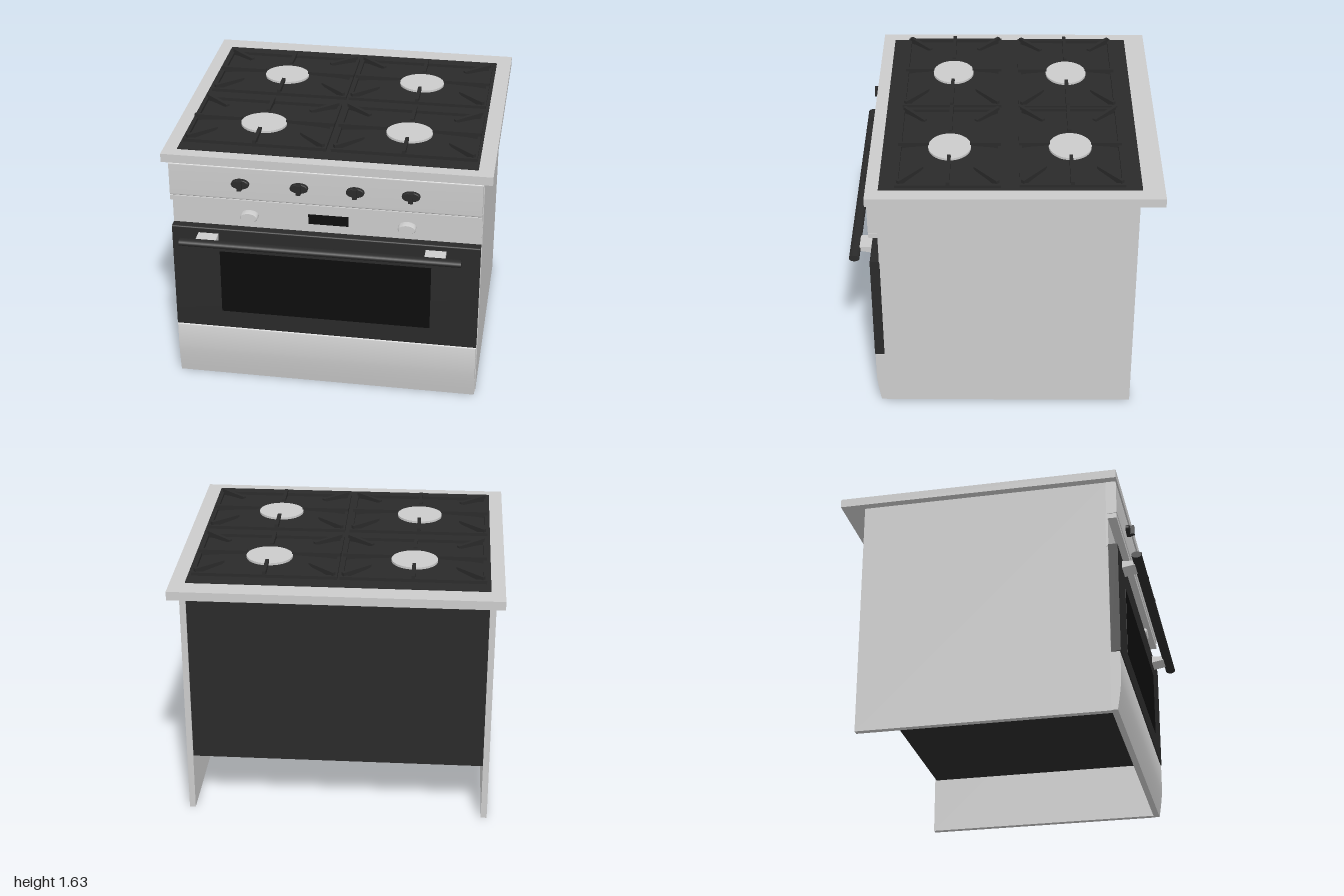
import * as THREE from 'three';
import { toCreasedNormals } from 'three/addons/utils/BufferGeometryUtils.js';

const steel = new THREE.MeshStandardMaterial({ color: 0xcccccc });
const dark = new THREE.MeshStandardMaterial({ color: 0x2a2a2a });
const black = new THREE.MeshStandardMaterial({ color: 0x0d0d0d });

function add(parent, name, geometry, material) {
  const mesh = new THREE.Mesh(geometry, material);
  mesh.name = name;
  parent.add(mesh);
  return mesh;
}

// Box given by its minimum and maximum on each axis
function box(parent, name, material, x0, x1, y0, y1, z0, z1) {
  const mesh = add(parent, name, new THREE.BoxGeometry(x1 - x0, y1 - y0, z1 - z0), material);
  mesh.position.set((x0 + x1) / 2, (y0 + y1) / 2, (z0 + z1) / 2);
  return mesh;
}

// Side profile in (z, y), swept along x from x0 to x1
function sweep(shape, x0, x1) {
  const g = new THREE.ExtrudeGeometry(shape, { depth: x1 - x0, bevelEnabled: false, curveSegments: 10 });
  g.rotateY(-Math.PI / 2).translate(x1, 0, 0);
  return toCreasedNormals(g, 0.6);
}

// Front panel with softly rounded top and bottom front edges
function panelShape(y0, y1, zBack, zFront, r) {
  const s = new THREE.Shape();
  s.moveTo(zBack, y0);
  s.lineTo(zFront - r, y0);
  s.quadraticCurveTo(zFront, y0, zFront, y0 + r);
  s.lineTo(zFront, y1 - r);
  s.quadraticCurveTo(zFront, y1, zFront - r, y1);
  s.lineTo(zBack, y1);
  s.closePath();
  return s;
}

// Elliptical dial facing the front, from z0 to z1
function dial(parent, name, material, x, y, rx, ry, z0, z1) {
  const profile = [[0, 0], [1, 0], [1, 0.8], [0.9, 1], [0, 1]].map(p => new THREE.Vector2(...p));
  let g = new THREE.LatheGeometry(profile, 32);
  g.rotateX(Math.PI / 2).scale(rx, ry, z1 - z0);
  const mesh = add(parent, name, toCreasedNormals(g, 0.5), material);
  mesh.position.set(x, y, z0);
}

// Pan support finger: tall at the frame, tapering to a thin raised tip along +x
function fingerGeometry(length) {
  const s = new THREE.Shape([[0, 0], [length * 0.3, 0.012], [length - 0.02, 0.022], [length, 0.03],
    [length, 0.042], [0, 0.042]].map(p => new THREE.Vector2(...p)));
  return new THREE.ExtrudeGeometry(s, { depth: 0.022, bevelEnabled: false }).translate(0, 0, -0.011);
}

function panSupport(cx, cz) {
  const g = new THREE.Group();
  g.name = 'panSupport';
  g.position.set(cx, 1.588, cz);
  const hx = 0.44, hz = 0.313, t = 0.02;
  for (const s of [-1, 1]) {
    const zc = s * (hz - t / 2), xc = s * (hx - t / 2);
    box(g, 'frameBar', dark, -hx, hx, 0, 0.022, zc - t / 2, zc + t / 2);
    box(g, 'frameBar', dark, xc - t / 2, xc + t / 2, 0, 0.022, -hz + t, hz - t);
  }
  // Straight fingers reach from the frame to the burner edge
  for (let i = 0; i < 4; i++) {
    const a = i * Math.PI / 2, alongX = i % 2 === 0;
    const reach = alongX ? hx : hz;
    const f = add(g, 'finger', fingerGeometry(reach - (alongX ? 0.14 : 0.125)), dark);
    f.position.set(Math.cos(a) * reach, 0, Math.sin(a) * reach);
    f.rotation.y = Math.PI - a;
  }
  // Diagonal fingers in the corners
  for (const sx of [-1, 1]) for (const sz of [-1, 1]) {
    const f = add(g, 'cornerFinger', fingerGeometry(0.21), dark);
    f.position.set(sx * 0.422, 0, sz * 0.295);
    f.rotation.y = Math.atan2(sz * 0.14, -sx * 0.16);
  }
  return g;
}

export function createModel() {
  const model = new THREE.Group();
  model.name = 'cooker';
  const x0 = -0.957, x1 = 0.945;

  // Body: open-bottomed cabinet with the oven box inside
  box(model, 'sidePanel', steel, -0.95, -0.912, 0, 1.53, -0.8, 0.75);
  box(model, 'sidePanel', steel, 0.912, 0.95, 0, 1.53, -0.8, 0.75);
  box(model, 'ovenBox', dark, -0.912, 0.912, 0.375, 1.53, -0.79, 0.74);
  box(model, 'worktop', steel, -1, 1, 1.53, 1.585, -0.945, 0.817);

  // Drawer front, curving back towards the floor
  const drawer = new THREE.Shape();
  drawer.moveTo(0.745, 0);
  drawer.lineTo(0.783, 0);
  drawer.quadraticCurveTo(0.805, 0.13, 0.807, 0.2);
  drawer.lineTo(0.807, 0.36);
  drawer.quadraticCurveTo(0.807, 0.37, 0.797, 0.37);
  drawer.lineTo(0.745, 0.37);
  drawer.closePath();
  add(model, 'drawerFront', sweep(drawer, x0, x1), steel);

  // Oven door, window and handle
  add(model, 'ovenDoor', sweep(panelShape(0.373, 1.09, 0.752, 0.81, 0.008), x0, x1), dark);
  box(model, 'ovenWindow', black, -0.662, 0.652, 0.495, 0.93, 0.8, 0.812);
  const bar = new THREE.CylinderGeometry(0.5, 0.5, 1.725, 24);
  bar.rotateZ(Math.PI / 2).scale(1, 0.042, 0.064);
  add(model, 'doorHandle', bar, dark).position.set(-0.022, 1.04, 0.913);
  const bracket = new THREE.Shape([[0.805, 1.01], [0.89, 1.025], [0.9, 1.052], [0.805, 1.056]]
    .map(p => new THREE.Vector2(...p)));
  for (const x of [-0.79, 0.615]) add(model, 'handleBracket', sweep(bracket, x, x + 0.125), steel);

  // Control panels
  box(model, 'ovenControlPanel', steel, x0, x1, 1.08, 1.31, 0.74, 0.754);
  box(model, 'trimStrip', steel, x0, x1, 1.27, 1.302, 0.75, 0.808);
  add(model, 'hobControlPanel', sweep(panelShape(1.305, 1.527, 0.745, 0.81, 0.012), x0, x1), steel);
  box(model, 'display', black, -0.112, 0.135, 1.145, 1.21, 0.75, 0.759);
  for (const x of [-0.475, 0.495]) dial(model, 'ovenKnob', steel, x, 1.175, 0.055, 0.033, 0.752, 0.8);
  for (const x of [-0.515, -0.155, 0.185, 0.52]) {
    dial(model, 'hobKnob', dark, x, 1.42, 0.055, 0.031, 0.808, 0.836);
    box(model, 'hobKnobGrip', dark, x - 0.014, x + 0.014, 1.391, 1.452, 0.815, 0.86);
  }

  // Hob plate, burners and pan supports
  box(model, 'hobPlate', dark, -0.915, 0.907, 1.58, 1.59, -0.813, 0.74);
  for (const [x, z] of [[-0.45, -0.402], [0.445, -0.402], [-0.46, 0.332], [0.45, 0.332]]) {
    const cap = new THREE.CylinderGeometry(1, 1, 0.018, 40).scale(0.143, 1, 0.131);
    add(model, 'burner', cap, steel).position.set(x, 1.595, z);
    model.add(panSupport(x, z));
  }
  return model;
}
